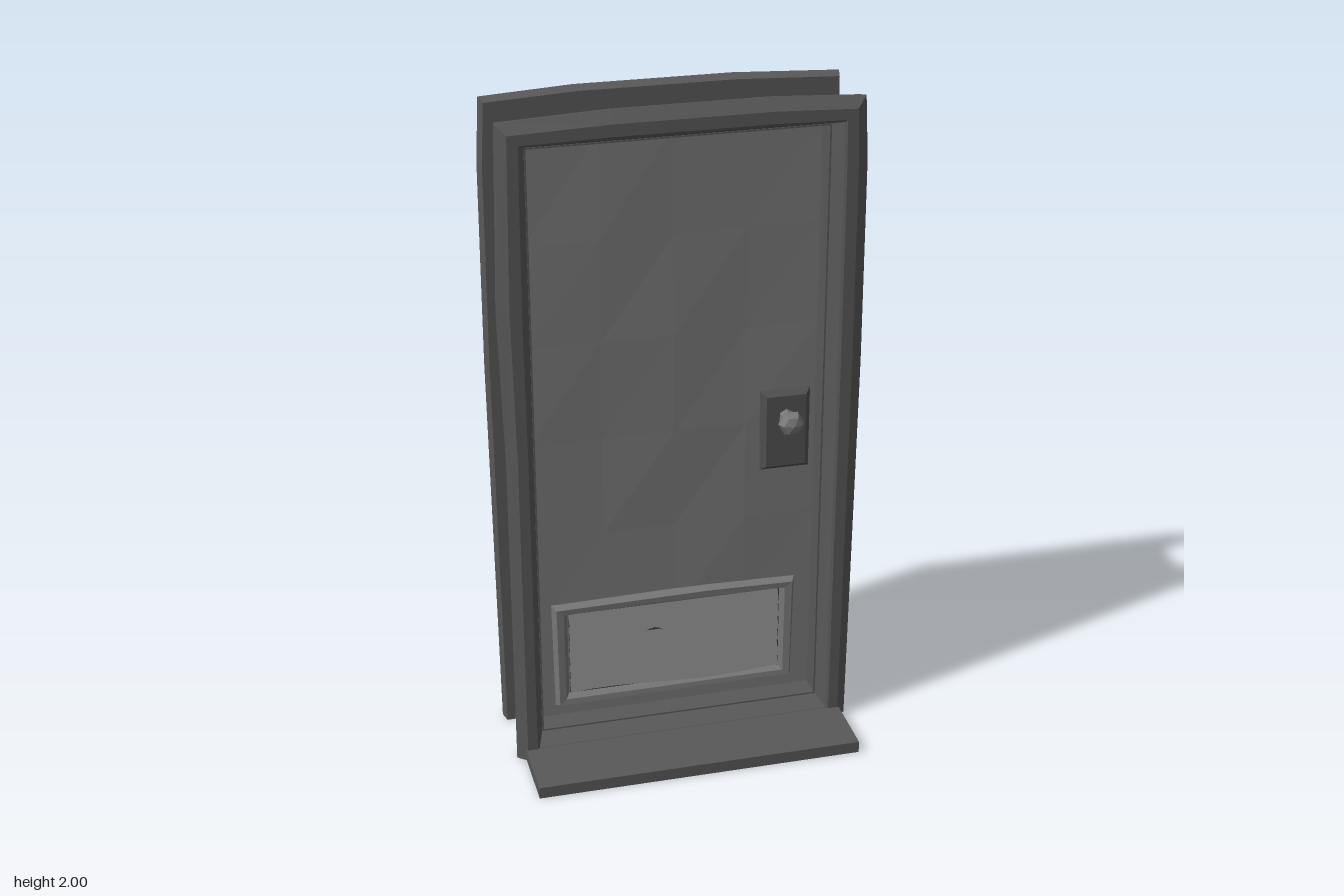
import * as THREE from 'three';

const mat = (name, color, side = THREE.FrontSide) => {
  const m = new THREE.MeshStandardMaterial({ color, flatShading: true, side });
  m.name = name;
  return m;
};

// Closed ring: each section point [t, z] runs from the inner outline (t = 0) to the outer one (t = 1)
function ringGeometry(outer, [x0, x1, y0, y1], section, minY = 0) {
  const pos = [], index = [], n = section.length;
  for (const [x, y] of outer) {
    const ix = THREE.MathUtils.clamp(x, x0, x1);
    const iy = THREE.MathUtils.clamp(y, y0, y1);
    for (const [t, z] of section) pos.push(ix + (x - ix) * t, Math.max(minY, iy + (y - iy) * t), z);
  }
  for (let i = 0; i < outer.length; i++) {
    const k = (i + 1) % outer.length;
    for (let j = 0; j < n; j++) {
      const l = (j + 1) % n;
      const a = i * n + j, b = i * n + l, c = k * n + l, d = k * n + j;
      index.push(a, b, c, a, c, d);
    }
  }
  const g = new THREE.BufferGeometry();
  g.setAttribute('position', new THREE.Float32BufferAttribute(pos, 3));
  g.setIndex(index);
  g.computeVertexNormals();
  return g;
}

// Move every vertex of a geometry by a rule
function warp(g, rule) {
  const p = g.attributes.position, v = new THREE.Vector3();
  for (let i = 0; i < p.count; i++) {
    rule(v.fromBufferAttribute(p, i));
    p.setXYZ(i, v.x, v.y, v.z);
  }
  g.computeVertexNormals();
  return g;
}

export function createModel() {
  const frameGrey = mat('frame grey', 0x585858);
  const doorGrey = mat('door grey', 0x767676);
  const slatGrey = mat('slat grey', 0x7c7c7c);
  const plateGrey = mat('lock plate grey', 0x505050);
  const knobGrey = mat('knob grey', 0x787878);
  const gapGrey = mat('gap dark grey', 0x383838);

  const model = new THREE.Group();
  model.name = 'door';
  const body = new THREE.Group(); // centred on the door leaf
  body.name = 'doorBody';
  body.position.z = -0.1025;
  model.add(body);

  const add = (parent, name, geometry, material, x = 0, y = 0, z = 0) => {
    const m = new THREE.Mesh(geometry, material);
    m.name = name;
    m.position.set(x, y, z);
    parent.add(m);
    return m;
  };

  // Thin jamb lining between the two frames
  const jamb = [[-0.43, 0.06], [0.43, 0.06], [0.43, 1.9], [-0.43, 1.9]];
  add(body, 'jamb', ringGeometry(jamb, [-0.425, 0.425, 0.065, 1.895],
    [[0, -0.09], [0, 0.09], [1, 0.09], [1, -0.09]]), frameGrey);

  // Door leaf with slightly uneven faces
  add(body, 'doorLeaf', warp(new THREE.BoxGeometry(0.856, 1.836, 0.04, 4, 6, 1), (v) => {
    const edge = Math.abs(v.x) > 0.42 || Math.abs(v.y) > 0.9 || v.y < -0.5;
    if (!edge) v.z += 0.004 * Math.sin(v.x * 9 + v.y * 5 + v.z * 40);
  }), doorGrey, 0, 0.98, 0);

  const frameOutline = [[-0.515, -0.04], [0.515, -0.04], [0.527, 1.2], [0.525, 1.8], [0.515, 1.985],
    [0.25, 2], [-0.2, 2], [-0.515, 1.985], [-0.528, 1.45], [-0.515, 1.0]];
  const frameSection = [[0, 0.0875], [0.22, 0.142], [0.3, 0.1475], [0.65, 0.1475], [1, 0.1225], [0.9, 0.0875]];
  const ventOutline = [[-0.375, 0.1], [0.37, 0.105], [0.376, 0.45], [0.1, 0.458], [-0.38, 0.45]];
  const ventSection = [[0, 0.018], [0.3, 0.04], [0.75, 0.042], [1, 0.018]];

  // Frame and louvre, the same on both faces
  for (const face of ['front', 'back']) {
    const side = new THREE.Group();
    side.name = face + 'Side';
    side.rotation.y = face === 'front' ? 0 : Math.PI;
    body.add(side);
    add(side, 'frame', ringGeometry(frameOutline, [-0.43, 0.43, 0.06, 1.9], frameSection), frameGrey);
    add(side, 'ventFrame', ringGeometry(ventOutline, [-0.33, 0.325, 0.14, 0.41], ventSection), doorGrey);
    add(side, 'ventBack', new THREE.BoxGeometry(0.655, 0.27, 0.004), gapGrey, 0, 0.275, 0.021);

    // Tilted slats with bent lower edges, the second one chipped
    for (let i = 0; i < 6; i++) {
      const slat = warp(new THREE.BoxGeometry(0.65, 0.047, 0.008, 10, 1, 1), (v) => {
        if (v.y > 0) return;
        if (i > 1) v.y += 0.006 * Math.sin(v.x * (5 + i) + i * 2);
        if (i === 1 && Math.abs(v.x + 0.065) < 0.01) v.y += 0.016;
      });
      add(side, 'slat', slat, slatGrey, -0.0025, 0.389 - i * 0.044, 0.03).rotation.x = -0.4;
    }
  }

  // Lock plate with bevelled rim and faceted knob, mirrored to both faces
  for (const s of [1, -1]) {
    const lock = new THREE.Group();
    lock.name = s > 0 ? 'frontLock' : 'backLock';
    lock.position.set(0.333, 0, s * 0.02);
    lock.rotation.y = s > 0 ? 0 : Math.PI;
    body.add(lock);
    add(lock, 'lockPlate', warp(new THREE.BoxGeometry(0.16, 0.265, 0.024), (v) => {
      if (v.z > 0) {
        v.x -= Math.sign(v.x) * 0.02;
        v.y -= Math.sign(v.y) * 0.02;
      }
    }), plateGrey, 0, 0.952, 0.008);
    add(lock, 'knobNeck', new THREE.CylinderGeometry(0.018, 0.024, 0.04, 6).rotateX(Math.PI / 2),
      knobGrey, 0, 1, 0.035);
    const knob = new THREE.SphereGeometry(0.04, 6, 4).rotateX(Math.PI / 2).scale(1, 1, 0.8);
    add(lock, 'knob', knob, knobGrey, 0, 1, 0.07);
  }

  // Step in front of the door
  add(model, 'step', new THREE.BoxGeometry(0.98, 0.036, 0.22), frameGrey, 0, 0.018, 0.135);
  return model;
}
